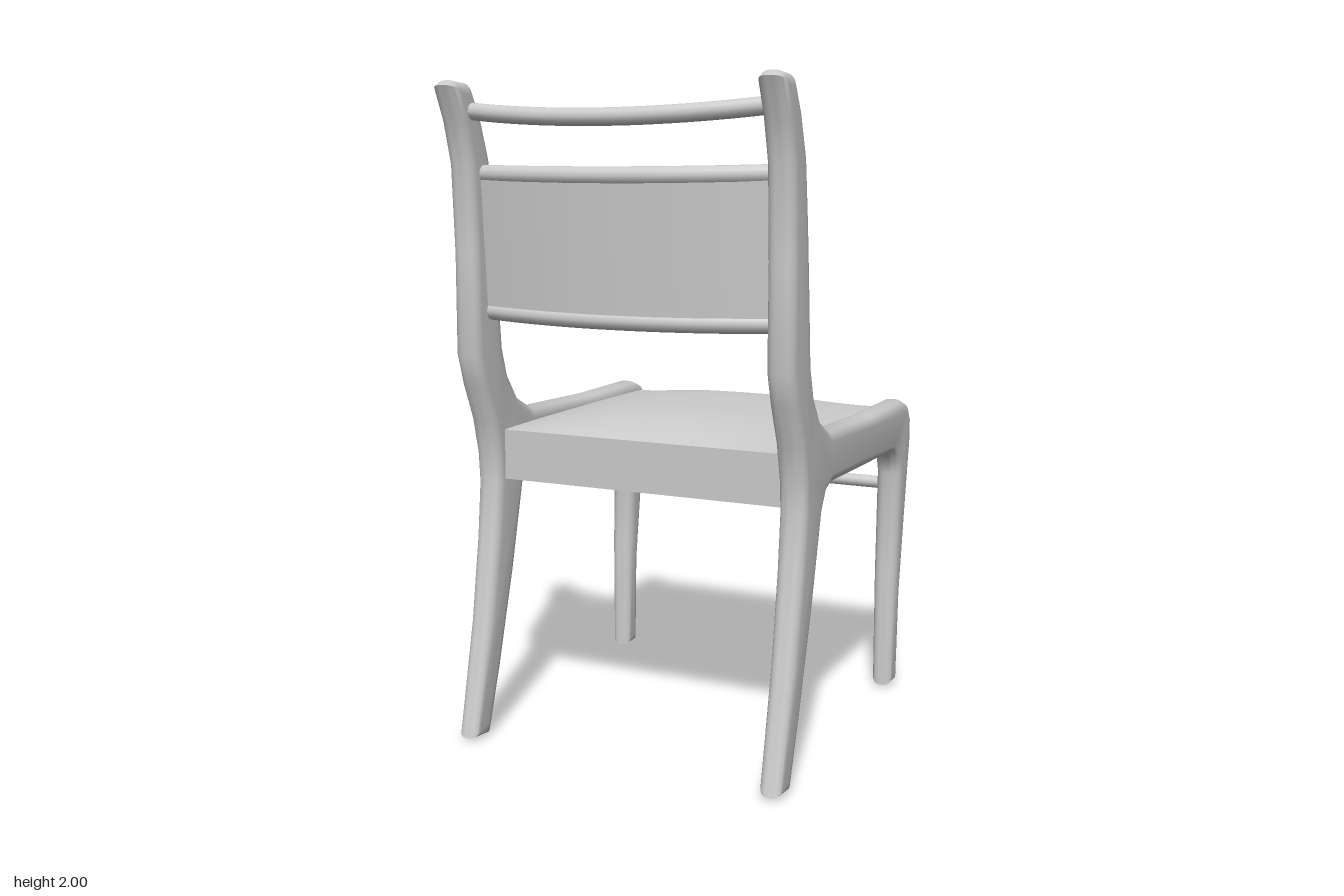
import * as THREE from 'three';
import { toCreasedNormals } from 'three/addons/utils/BufferGeometryUtils.js';

const INNER = 0.475; // half width between the side frames

function part(name, geometry) {
  const mesh = new THREE.Mesh(geometry, new THREE.MeshStandardMaterial({ color: 0xcccccc }));
  mesh.name = name;
  return mesh;
}

// Move every vertex of a geometry by a rule
function reshape(geometry, rule) {
  const p = geometry.attributes.position;
  const v = new THREE.Vector3();
  for (let i = 0; i < p.count; i++) {
    v.fromBufferAttribute(p, i);
    rule(v);
    p.setXYZ(i, v.x, v.y, v.z);
  }
  geometry.computeVertexNormals();
  return geometry;
}

// 1 at the middle of the chair, 0 at the side frames
const arch = (x) => 1 - (x / INNER) ** 2;

// Side frame outline as [z, y]: post, rear leg, seat rail and front leg in one piece
const OUTLINE = [
  // rear edge, top to foot
  [0.575, 2.0], [0.603, 1.985], [0.557, 1.88], [0.525, 1.76], [0.513, 1.5], [0.515, 1.2],
  [0.485, 1.1], [0.44, 0.99], [0.415, 0.88], [0.41, 0.79], [0.43, 0.62], [0.475, 0.36], [0.558, 0.01],
  // rear leg front edge and underside of the rail
  [0.47, 0.0], [0.405, 0.2], [0.32, 0.5], [0.255, 0.77], [0.225, 0.82], [0.18, 0.838],
  [-0.1, 0.832], [-0.41, 0.828], [-0.45, 0.805], [-0.47, 0.745], [-0.452, 0.4], [-0.447, 0.01],
  // front leg and top of the rail
  [-0.52, 0.01], [-0.527, 0.33], [-0.568, 0.64], [-0.6, 0.86], [-0.595, 0.92], [-0.565, 0.97],
  [-0.51, 0.99], [-0.2, 0.987], [0.19, 0.998], [0.28, 1.045], [0.335, 1.125], [0.36, 1.21],
  [0.375, 1.42], [0.39, 1.6], [0.41, 1.78], [0.45, 1.9], [0.495, 1.985], [0.51, 1.995],
];

function sideFrame(name, side) {
  const shape = new THREE.Shape(OUTLINE.map(([z, y]) => new THREE.Vector2(z, y)));
  const bevel = 0.032;
  const geometry = new THREE.ExtrudeGeometry(shape, {
    depth: 0.02, bevelEnabled: true, bevelThickness: bevel, bevelSize: bevel,
    bevelOffset: -bevel, bevelSegments: 5,
  });
  geometry.translate(0, 0, -0.01).rotateY(-Math.PI / 2);
  // slimmer in width toward feet and top
  reshape(geometry, (v) => {
    const taper = v.y < 0.95 ? (0.95 - v.y) * 0.19 : (v.y - 0.95) * 0.06;
    v.x *= 1.04 - taper;
  });
  const mesh = part(name, toCreasedNormals(geometry, 0.8));
  mesh.position.x = side * 0.504;
  return mesh;
}

// Round bar bowed backward between the posts
function bowedBar(name, y, z, bow, sag, radius) {
  const points = [];
  for (let i = 0; i <= 8; i++) {
    const x = -0.49 + (0.98 * i) / 8;
    points.push(new THREE.Vector3(x, y - sag * arch(x), z + bow * arch(x)));
  }
  return part(name, new THREE.TubeGeometry(new THREE.CatmullRomCurve3(points), 24, radius, 12));
}

// Thin seat cover, crowned in the middle
function seatPanel() {
  const geometry = new THREE.BoxGeometry(2 * INNER, 0.03, 0.92, 20, 1, 20);
  reshape(geometry, (v) => {
    const crown = (1 - Math.abs(v.x / INNER) ** 2.4) * (1 - Math.abs(v.z / 0.46) ** 3);
    v.y += 0.06 * crown;
  });
  geometry.translate(0, 0.94, -0.085);
  return part('seatPanel', toCreasedNormals(geometry, 0.7));
}

function apron(name, z) {
  const mesh = part(name, new THREE.BoxGeometry(2 * INNER, 0.154, 0.025));
  mesh.position.set(0, 0.877, z);
  return mesh;
}

// Curved, slightly leaning back panel
function backPanel() {
  const geometry = new THREE.BoxGeometry(0.96, 0.4, 0.032, 24, 4, 1);
  reshape(geometry, (v) => {
    v.z += 0.443 + v.y * 0.06 + 0.06 * arch(v.x);
    v.y += 1.527 - 0.006 * arch(v.x);
  });
  return part('backPanel', toCreasedNormals(geometry, 0.7));
}

export function createModel() {
  const chair = new THREE.Group();
  chair.name = 'chair';

  chair.add(sideFrame('leftFrame', 1), sideFrame('rightFrame', -1));

  // seat, open underneath
  chair.add(seatPanel(), apron('backrestSideApron', 0.3625), apron('legSideApron', -0.5325));

  // stretcher between the curved legs
  const stretcher = part('stretcher', new THREE.CylinderGeometry(0.021, 0.021, 0.98, 12));
  stretcher.rotation.z = Math.PI / 2;
  stretcher.position.set(0, 0.7, -0.52);
  chair.add(stretcher);

  // backrest
  chair.add(
    backPanel(),
    bowedBar('backPanelTopRoll', 1.735, 0.45, 0.063, 0.006, 0.027),
    bowedBar('backPanelBottomRoll', 1.328, 0.428, 0.06, 0.006, 0.027),
    bowedBar('topRail', 1.915, 0.505, 0.057, 0.025, 0.025),
  );

  return chair;
}
